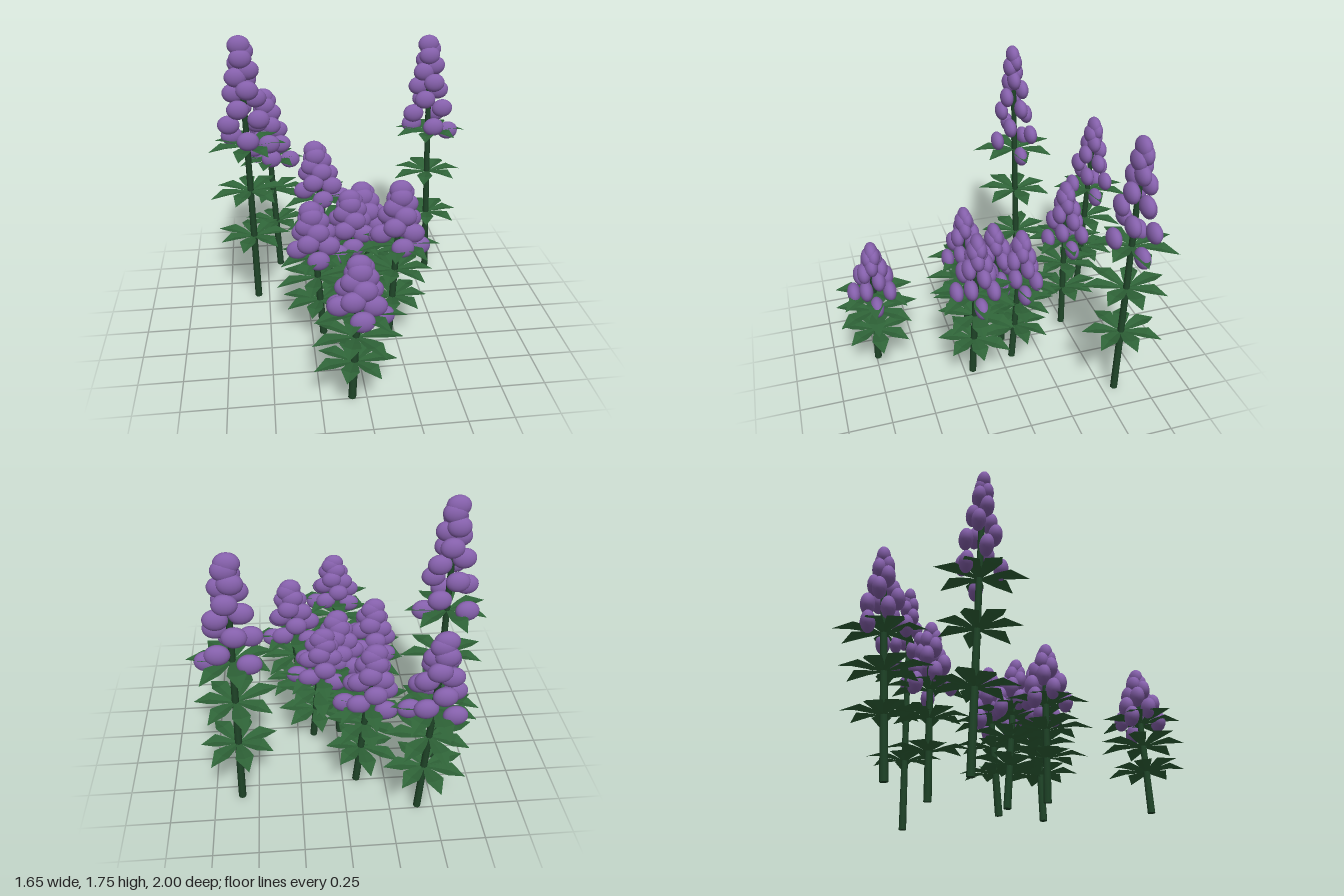
import * as THREE from 'three';

const flowerMat = new THREE.MeshStandardMaterial({ color: 0x8560ab });
const stemMat = new THREE.MeshStandardMaterial({ color: 0x1f4528 });
const leafMat = new THREE.MeshStandardMaterial({ color: 0x2f6438, flatShading: true, side: THREE.DoubleSide });

// Each plant: base x, base z, tip x, tip height, tip z
const PLANTS = [
  [-0.41, -0.73, -0.47, 1.21, -0.815],
  [-0.08, -0.49, -0.167, 0.945, -0.52],
  [-0.57, -0.335, -0.597, 1.687, -0.303],
  [0.597, -0.575, 0.574, 1.58, -0.617],
  [0.15, -0.07, 0.09, 0.813, -0.15],
  [-0.02, -0.055, 0, 0.834, -0.005],
  [-0.18, 0.13, -0.24, 0.83, 0.117],
  [0.21, 0.2, 0.272, 0.957, 0.17],
  [-0.08, 0.74, -0.036, 0.813, 0.72],
];
const FLORETS = 18;
const LEAVES = 7;

// Small seeded generator, 0..1
function seeded(seed) {
  let s = seed;
  return () => (s = (s * 16807) % 2147483647) / 2147483647;
}

// Unit-length pointed leaf along +x, arched, with a shallow fold on the midrib
function makeLeafGeometry() {
  // distance, half width, height
  const rows = [[0.04, 0.03, 0], [0.35, 0.14, 0.06], [0.62, 0.2, 0.1], [1, 0, 0.02]];
  const pos = [];
  const index = [];
  rows.forEach(([x, w, y], i) => {
    pos.push(x, y + w * 0.12, -w, x, y - w * 0.12, 0, x, y + w * 0.12, w);
    if (i === rows.length - 1) return;
    for (let j = 0; j < 2; j++) {
      const a = i * 3 + j;
      index.push(a, a + 1, a + 3, a + 1, a + 4, a + 3);
    }
  });
  const geo = new THREE.BufferGeometry();
  geo.setAttribute('position', new THREE.Float32BufferAttribute(pos, 3));
  geo.setIndex(index);
  geo.computeVertexNormals();
  return geo;
}

function makePlant([bx, bz, tx, ty, tz], id, floretGeo, leafGeo) {
  const plant = new THREE.Group();
  plant.name = 'flowerPlant' + (id + 1);
  const rand = seeded(977 * (id + 3));
  const lean = new THREE.Vector3(tx - bx, ty, tz - bz);
  const height = lean.length();
  plant.position.set(bx, 0, bz);
  plant.quaternion.setFromUnitVectors(new THREE.Vector3(0, 1, 0), lean.normalize());

  // Stem
  const stem = new THREE.Mesh(new THREE.CylinderGeometry(0.016, 0.022, height, 8), stemMat);
  stem.name = 'stem';
  stem.position.y = height / 2;
  plant.add(stem);

  // Three whorls of leaves
  const whorls = [[0.03 + 0.25 * height, 0.225], [0.03 + 0.44 * height, 0.24], [0.02 + 0.622 * height, 0.245]];
  whorls.forEach(([y, length], w) => {
    const whorl = new THREE.Group();
    whorl.name = 'leafWhorl' + (w + 1);
    whorl.position.y = y;
    for (let k = 0; k < LEAVES; k++) {
      const leaf = new THREE.Mesh(leafGeo, leafMat);
      leaf.name = 'leaf';
      leaf.rotation.y = -(0.05 + (k / LEAVES) * Math.PI * 2 + (rand() - 0.5) * 0.2);
      leaf.scale.set(length * (0.9 + rand() * 0.22), 0.25, 0.25);
      whorl.add(leaf);
    }
    plant.add(whorl);
  });

  // Flower spike: florets on a tapering golden-angle spiral
  const spike = new THREE.Group();
  spike.name = 'flowerSpike';
  for (let i = 0; i < FLORETS; i++) {
    const t = i / (FLORETS - 1);
    const angle = -THREE.MathUtils.degToRad(137.5) * i;
    const r = 0.125 * (1 - t) + 0.006;
    const floret = new THREE.Mesh(floretGeo, flowerMat);
    floret.name = 'floret';
    floret.position.set(r * Math.cos(angle), height * (0.636 + 0.364 * t), r * Math.sin(angle));
    spike.add(floret);
  }
  plant.add(spike);
  return plant;
}

export function createModel() {
  const model = new THREE.Group();
  model.name = 'flowerPatch';
  const floretGeo = new THREE.SphereGeometry(1, 18, 12).scale(0.066, 0.058, 0.039);
  const leafGeo = makeLeafGeometry();
  PLANTS.forEach((p, i) => model.add(makePlant(p, i, floretGeo, leafGeo)));
  return model;
}
